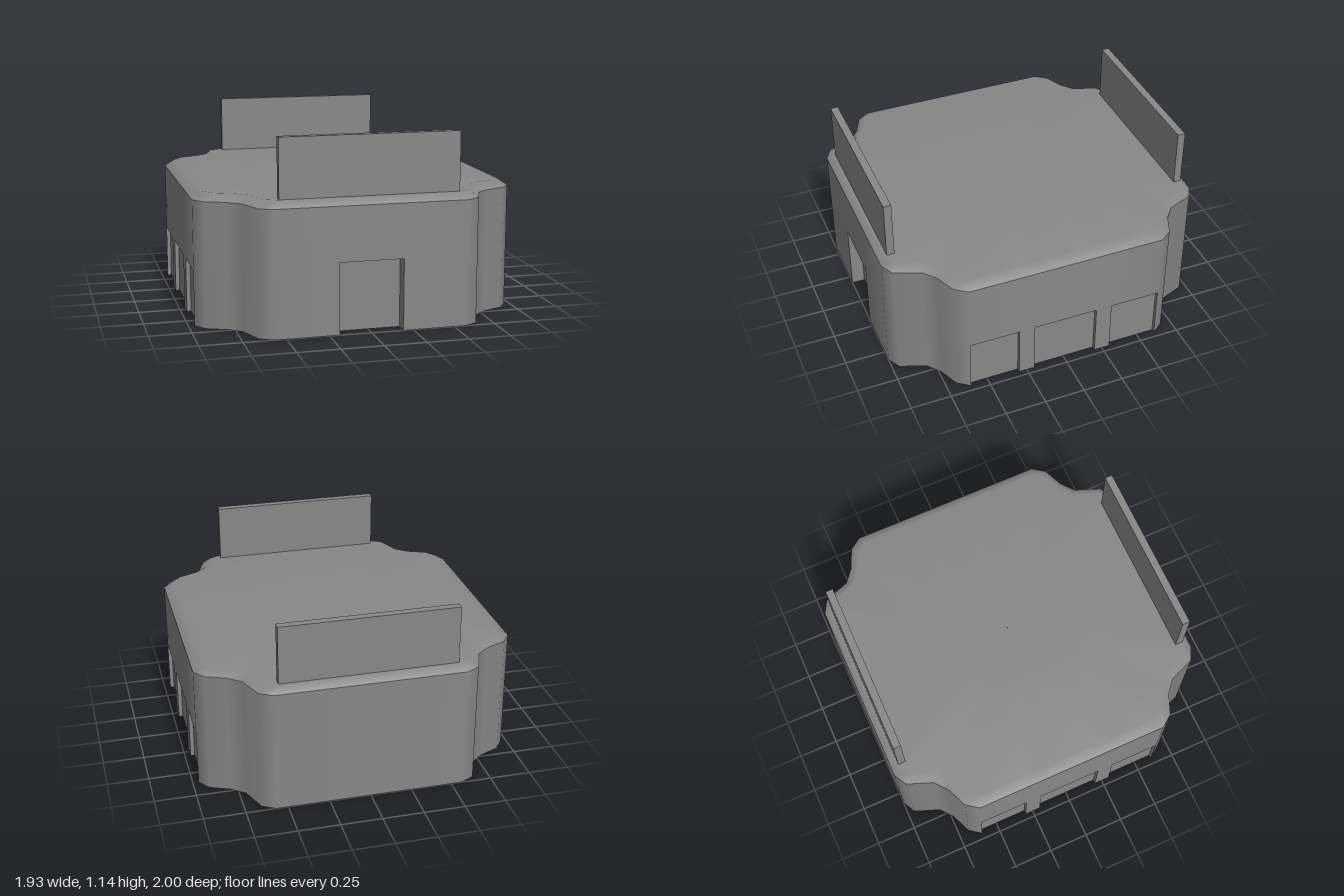
import * as THREE from 'three';

const material = new THREE.MeshStandardMaterial({ color: 0x888888, side: THREE.DoubleSide });
const W = 0.965, D = 1, EAVE = 0.75, ROOF = 0.793;
const FRONT_DOOR = 0.425, SIDE_DOOR = 0.33;

// Scalloped corner as [x, z], from the front edge round to the side edge
const corner = [[0.57, D], [0.65, 0.957], [0.71, 0.8], [0.79, 0.735], [0.91, 0.685], [W, 0.61]];
const sideBays = [[0.3, 0.61], [-0.2, 0.2], [-0.61, -0.3]];

// Closed outline, counter-clockwise from above, with points at the door edges
function makeOutline() {
  const mirror = (sx, sz) => corner.map(([x, z]) => [x * sx, z * sz]);
  const cuts = [0.3, 0.2, -0.2, -0.3];
  return [
    [-0.19, D], [0.19, D], ...mirror(1, 1),
    ...cuts.map((z) => [W, z]), ...mirror(1, -1).reverse(),
    ...mirror(-1, -1),
    ...cuts.map((z) => [-W, -z]), ...mirror(-1, 1).reverse(),
  ];
}

// Skins a stack of closed rings of [x, y, z] points; skip(column, row) leaves openings
function skinRings(rings, skip = () => false) {
  const n = rings[0].length, index = [];
  for (let r = 0; r < rings.length - 1; r++) {
    for (let i = 0; i < n; i++) {
      if (skip(i, r)) continue;
      const a = r * n + i, b = r * n + (i + 1) % n;
      index.push(a, b, b + n, a, b + n, a + n);
    }
  }
  const geometry = new THREE.BufferGeometry();
  geometry.setAttribute('position', new THREE.Float32BufferAttribute(rings.flat(2), 3));
  geometry.setIndex(index);
  geometry.computeVertexNormals();
  return geometry;
}

// Horizontal normals from the two neighbouring outline edges, so the wall shades evenly in height
function smoothAround(geometry, outline) {
  const n = outline.length;
  const edgeNormal = (i) => {
    const [x0, z0] = outline[i % n], [x1, z1] = outline[(i + 1) % n];
    return new THREE.Vector3(z0 - z1, 0, x1 - x0).normalize();
  };
  const normals = geometry.attributes.normal;
  for (let v = 0; v < normals.count; v++) {
    const m = edgeNormal(v % n).add(edgeNormal(v % n + n - 1)).normalize();
    normals.setXYZ(v, m.x, m.y, m.z);
  }
  return geometry;
}

// Recessed doorway: a box without its outer and bottom faces, facing +z at z = 0
function makeRecess(width, height, depth) {
  const geometry = new THREE.BoxGeometry(width, height, depth);
  const faces = Array.from(geometry.index.array);
  geometry.setIndex(faces.filter((_, i) => ![3, 4].includes(Math.floor(i / 6))));
  // The inner faces are the ones seen, so turn them round
  geometry.index.array.reverse();
  geometry.attributes.normal.array.forEach((v, i, array) => { array[i] = -v; });
  geometry.translate(0, height / 2, -depth / 2);
  return geometry;
}

export function createModel() {
  const group = new THREE.Group();
  const add = (name, geometry) => {
    const mesh = new THREE.Mesh(geometry, material);
    mesh.name = name;
    group.add(mesh);
    return mesh;
  };
  const outline = makeOutline();
  const ring = (y, sx = 1, sz = 1) => outline.map(([x, z]) => [x * sx, y, z * sz]);

  // Outer wall, open below, with doorways left out
  const levels = [0, SIDE_DOOR, FRONT_DOOR, EAVE];
  const wall = skinRings(levels.map((y) => ring(y)), (i, row) => {
    const [x0, z0] = outline[i], [x1, z1] = outline[(i + 1) % outline.length];
    const x = (x0 + x1) / 2, z = (z0 + z1) / 2;
    if (z === D && Math.abs(x) < 0.19) return row < 2;
    return Math.abs(x) === W && row < 1 && sideBays.some(([a, b]) => z > a && z < b);
  });
  add('wall', smoothAround(wall, outline));

  // Flat roof with a bevelled rim
  add('roof', skinRings([
    ring(EAVE), ring(ROOF, 0.935, 0.957), ring(ROOF, 0.35, 0.35), ring(ROOF, 0.001, 0.001),
  ]));

  // Front doorway
  add('frontDoorway', makeRecess(0.38, FRONT_DOOR, 0.08)).position.z = D;

  // Three shallow bays on each side
  for (const side of [1, -1]) {
    for (const [a, b] of sideBays) {
      const bay = add('sideBay', makeRecess(b - a, SIDE_DOOR, 0.025));
      bay.position.set(side * W, 0, (a + b) / 2);
      bay.rotation.y = side * Math.PI / 2;
    }
  }

  // Upright panels at the front and back of the roof
  for (const end of [1, -1]) {
    const panel = add(end > 0 ? 'frontPanel' : 'backPanel', new THREE.BoxGeometry(1.065, 0.365, 0.047));
    panel.position.set(0.003, 0.9625, end * 0.93);
  }
  return group;
}
